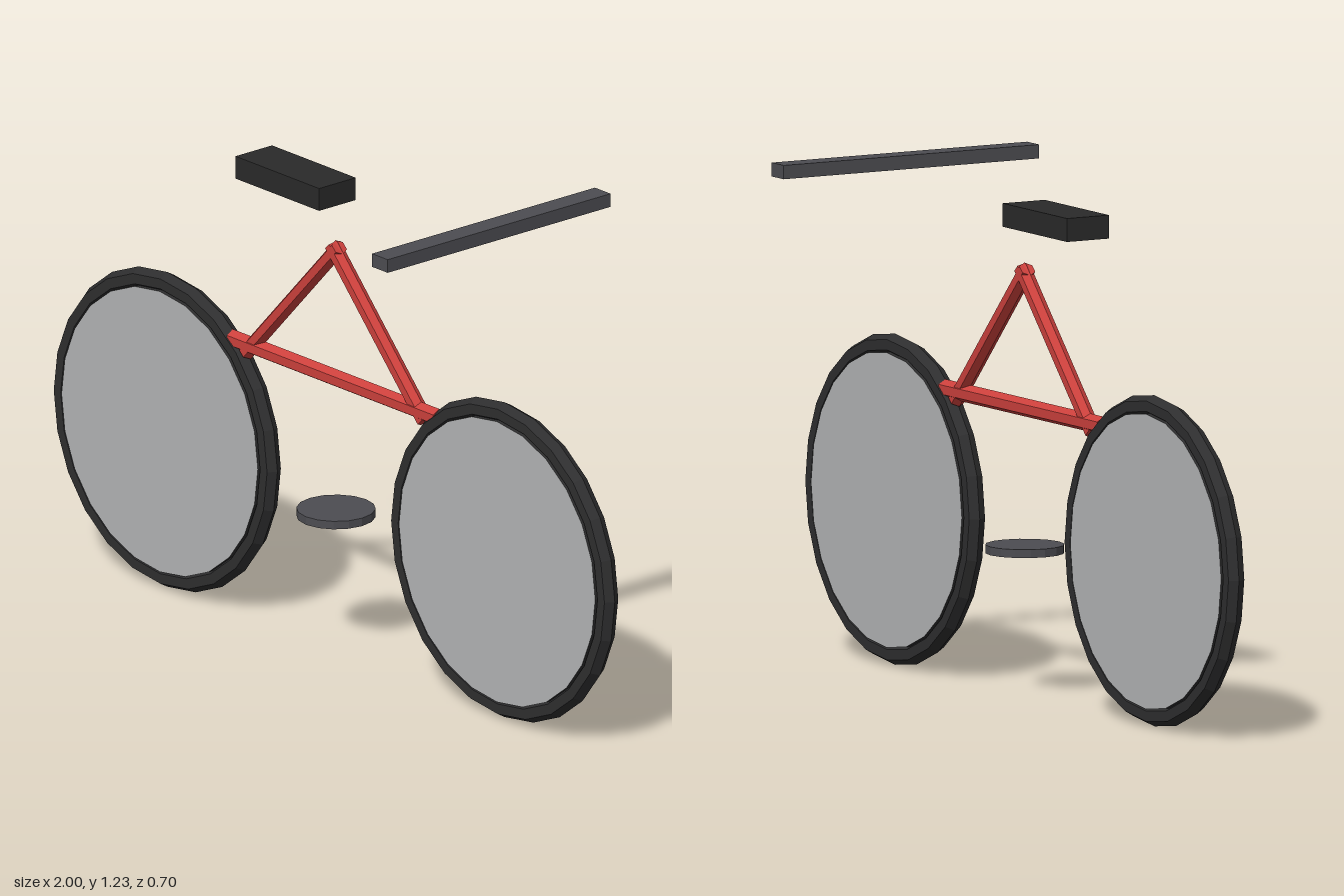
import * as THREE from 'three';

const mat = (name, color) => {
  const m = new THREE.MeshStandardMaterial({ color, flatShading: true });
  m.name = name;
  return m;
};

export function createModel() {
  const red = mat('frameRed', 0xcc403c);
  const rubber = mat('tireRubber', 0x2e2e2f);
  const disc = mat('wheelGrey', 0xb3b4b5);
  const metal = mat('darkMetal', 0x4d4d52);
  const leather = mat('saddleBlack', 0x2a2a2a);

  const model = new THREE.Group();
  model.name = 'bicycle';

  const add = (name, geometry, material, parent = model, x = 0, y = 0, z = 0) => {
    const mesh = new THREE.Mesh(geometry, material);
    mesh.name = name;
    mesh.position.set(x, y, z);
    parent.add(mesh);
    return mesh;
  };

  // Six-sided tube between two points in the x-y plane
  const tube = (name, x1, y1, x2, y2, r) => {
    const length = Math.hypot(x2 - x1, y2 - y1);
    const geometry = new THREE.CylinderGeometry(r, r, length, 6).rotateY(Math.PI / 6);
    const mesh = add(name, geometry, red, model, (x1 + x2) / 2, (y1 + y2) / 2);
    mesh.rotation.z = Math.atan2(y2 - y1, x2 - x1) - Math.PI / 2;
  };

  // Wheels: tire ring with a solid disc whose rim is dark
  for (const [name, side] of [['frontWheel', 1], ['rearWheel', -1]]) {
    const wheel = new THREE.Group();
    wheel.name = name;
    wheel.position.set(side * 0.605, 0.397, 0);
    model.add(wheel);
    add('tire', new THREE.TorusGeometry(0.37, 0.025, 6, 24), rubber, wheel);
    const discGeometry = new THREE.CylinderGeometry(0.352, 0.352, 0.048, 24).rotateX(Math.PI / 2);
    add('wheelDisc', discGeometry, [rubber, disc, disc], wheel);
  }

  // Frame triangle
  tube('lowerFrameTube', -0.37, 0.69, 0.37, 0.69, 0.022);
  tube('rearFrameTube', -0.32, 0.668, 0.012, 1.021, 0.02);
  tube('frontFrameTube', 0.32, 0.668, -0.012, 1.021, 0.02);

  // Saddle, handlebar and crank disc
  add('saddle', new THREE.BoxGeometry(0.3, 0.056, 0.115), leather, model, -0.145, 1.152);
  add('handlebar', new THREE.BoxGeometry(0.056, 0.033, 0.7), metal, model, 0.557, 1.211);
  add('crankDisc', new THREE.CylinderGeometry(0.094, 0.094, 0.02, 16), metal, model, 0, 0.353);

  return model;
}
